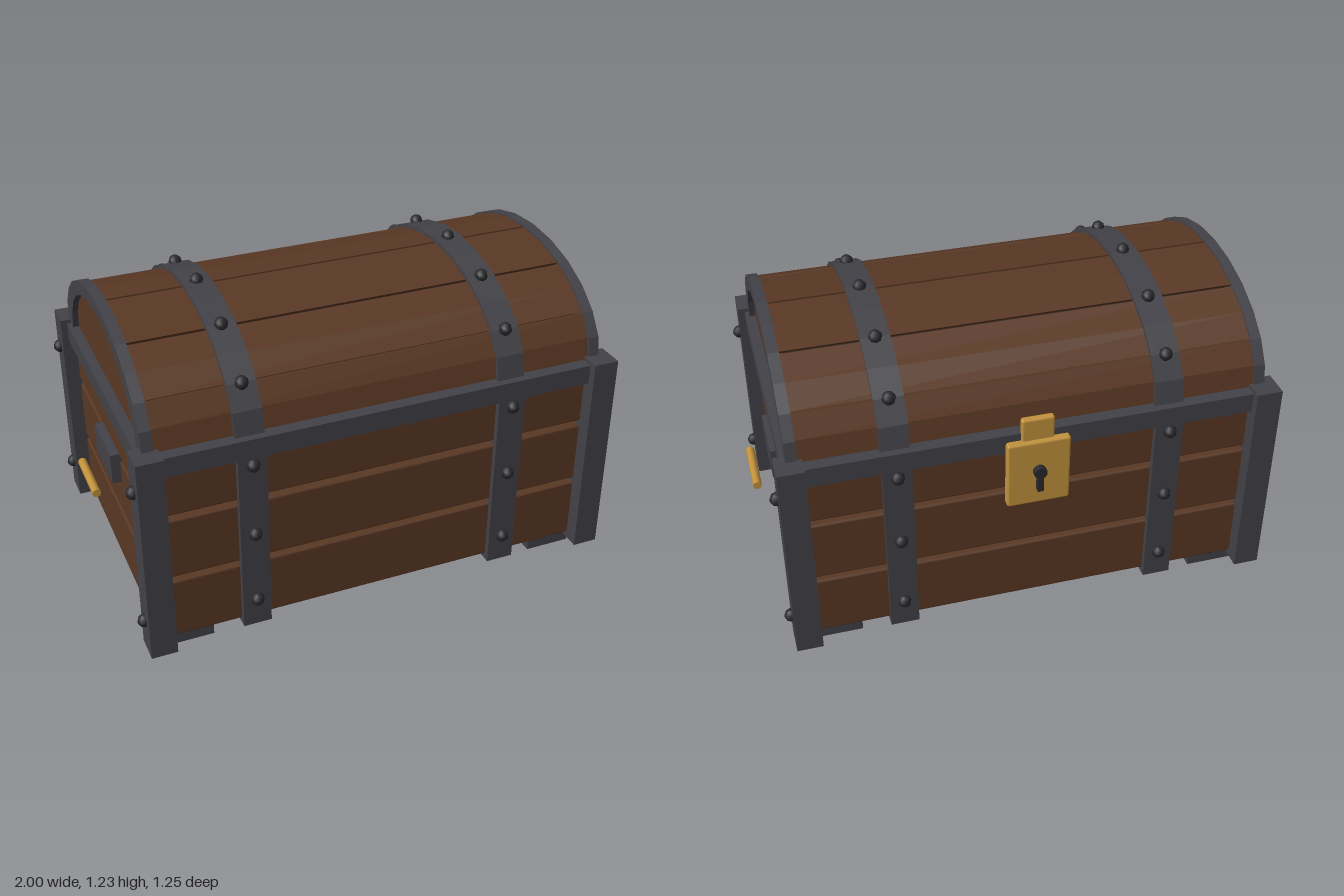
import * as THREE from 'three';
import { RoundedBoxGeometry } from 'three/addons/geometries/RoundedBoxGeometry.js';

const material = (name, color) => {
  const m = new THREE.MeshStandardMaterial({ color });
  m.name = name;
  return m;
};

export function createModel() {
  const wood = material('wood', 0x5a3824);
  const darkWood = material('dark wood', 0x2e1b10);
  const iron = material('iron', 0x434248);
  const darkIron = material('dark iron', 0x2a2a2e);
  const brass = material('brass', 0xc4933c);

  const chest = new THREE.Group();
  chest.name = 'chest';
  const signs = [-1, 1];

  const add = (name, geometry, mat, x = 0, y = 0, z = 0) => {
    const mesh = new THREE.Mesh(geometry, mat);
    mesh.name = name;
    mesh.position.set(x, y, z);
    chest.add(mesh);
    return mesh;
  };
  const box = (name, mat, w, h, d, x, y, z) =>
    add(name, new THREE.BoxGeometry(w, h, d), mat, x, y, z);
  const bevelBox = (name, mat, w, h, d, r, x, y, z) =>
    add(name, new RoundedBoxGeometry(w, h, d, 1, r), mat, x, y, z);
  const rivetShape = new THREE.SphereGeometry(0.026, 8, 6);
  const rivet = (x, y, z) => add('rivet', rivetShape, darkIron, x, y, z);

  // Lid pieces are elliptical arcs extruded along x, standing on the rim
  const lidY = 0.86;
  const arc = (name, mat, a, b, inner, from, to, steps, width, x) => {
    const points = [];
    const push = (t, s) => {
      const angle = THREE.MathUtils.degToRad(t);
      points.push(new THREE.Vector2(a * s * Math.cos(angle), b * s * Math.sin(angle)));
    };
    for (let i = 0; i <= steps; i++) push(from + (to - from) * i / steps, 1);
    if (inner > 0) for (let i = steps; i >= 0; i--) push(from + (to - from) * i / steps, inner);
    const geometry = new THREE.ExtrudeGeometry(new THREE.Shape(points), { depth: width, bevelEnabled: false });
    geometry.translate(0, 0, -width / 2).rotateY(Math.PI / 2);
    return add(name, geometry, mat, x, lidY, 0);
  };

  // Plank walls with open gaps, and the floor
  for (const y of [0.183, 0.452, 0.722]) {
    for (const s of signs) {
      bevelBox('wallPlank', wood, 1.72, 0.25, 0.05, 0.01, 0, y, s * 0.53);
      bevelBox('endPlank', wood, 0.05, 0.25, 1.06, 0.01, s * 0.86, y, 0);
    }
  }
  box('floor', wood, 1.74, 0.04, 1.08, 0, 0.077, 0);

  // Corner posts and feet
  for (const sx of signs) {
    for (const sz of signs) {
      box('cornerPost', iron, 0.1, 0.84, 0.11, sx * 0.89, 0.455, sz * 0.562);
      box('foot', iron, 0.185, 0.058, 0.154, sx * 0.767, 0.029, sz * 0.453);
      for (const y of [0.175, 0.737]) rivet(sx * 0.943, y, sz * 0.562);
    }
  }

  // Rim around the top of the body
  for (const s of signs) {
    box('rimLong', iron, 1.7, 0.078, 0.055, 0, 0.821, s * 0.5575);
    box('rimEnd', iron, 0.055, 0.078, 1.06, s * 0.8865, 0.821, 0);
  }

  // Straps around the body and over the lid, with rivets
  for (const sx of signs) {
    const x = sx * 0.515;
    box('bottomStrap', iron, 0.11, 0.022, 1.154, x, 0.047, 0);
    for (const sz of signs) {
      box('wallStrap', iron, 0.11, 0.8, 0.03, x, 0.437, sz * 0.562);
      for (const y of [0.155, 0.455, 0.752]) rivet(x, y, sz * 0.583);
    }
    arc('lidStrap', iron, 0.556, 0.345, 0.94, 0, 180, 12, 0.11, x);
    for (let t = 30; t <= 150; t += 30) {
      const angle = THREE.MathUtils.degToRad(t);
      rivet(x, lidY + 0.348 * Math.sin(angle), 0.56 * Math.cos(angle));
    }
  }

  // Barrel lid: six planks over a dark lining, closed by panels and iron arches
  for (let i = 0; i < 6; i++) {
    arc('lidPlank', wood, 0.541, 0.33, 0.945, i * 30 + 0.6, i * 30 + 29.4, 2, 1.72, 0);
  }
  arc('lidLining', darkWood, 0.51, 0.311, 0.97, 3, 177, 12, 1.68, 0);
  for (const s of signs) {
    arc('lidEndPanel', wood, 0.5, 0.305, 0, 0, 180, 12, 0.04, s * 0.855);
    arc('lidArch', iron, 0.55, 0.338, 0.852, 0, 180, 12, 0.042, s * 0.877);
  }

  // Side handles: iron plate and brass grip
  for (const s of signs) {
    box('handlePlate', iron, 0.045, 0.124, 0.246, s * 0.8975, 0.549, 0);
    const grip = add('handleGrip', new THREE.CylinderGeometry(0.017, 0.017, 0.235, 8), brass, s * 0.983, 0.455, 0);
    grip.rotation.x = Math.PI / 2;
  }

  // Lock with hasp and keyhole
  bevelBox('lockPlate', brass, 0.24, 0.28, 0.04, 0.01, 0, 0.69, -0.593);
  bevelBox('hasp', brass, 0.125, 0.135, 0.03, 0.01, 0, 0.853, -0.58);
  const keyhole = add('keyhole', new THREE.CylinderGeometry(0.025, 0.025, 0.03, 10), darkIron, 0, 0.703, -0.622);
  keyhole.rotation.x = Math.PI / 2;
  box('keyholeSlot', darkIron, 0.022, 0.075, 0.03, 0, 0.658, -0.622);

  // Centre the whole depth, lock included
  chest.position.z = 0.0115;
  const model = new THREE.Group();
  model.add(chest);
  return model;
}
